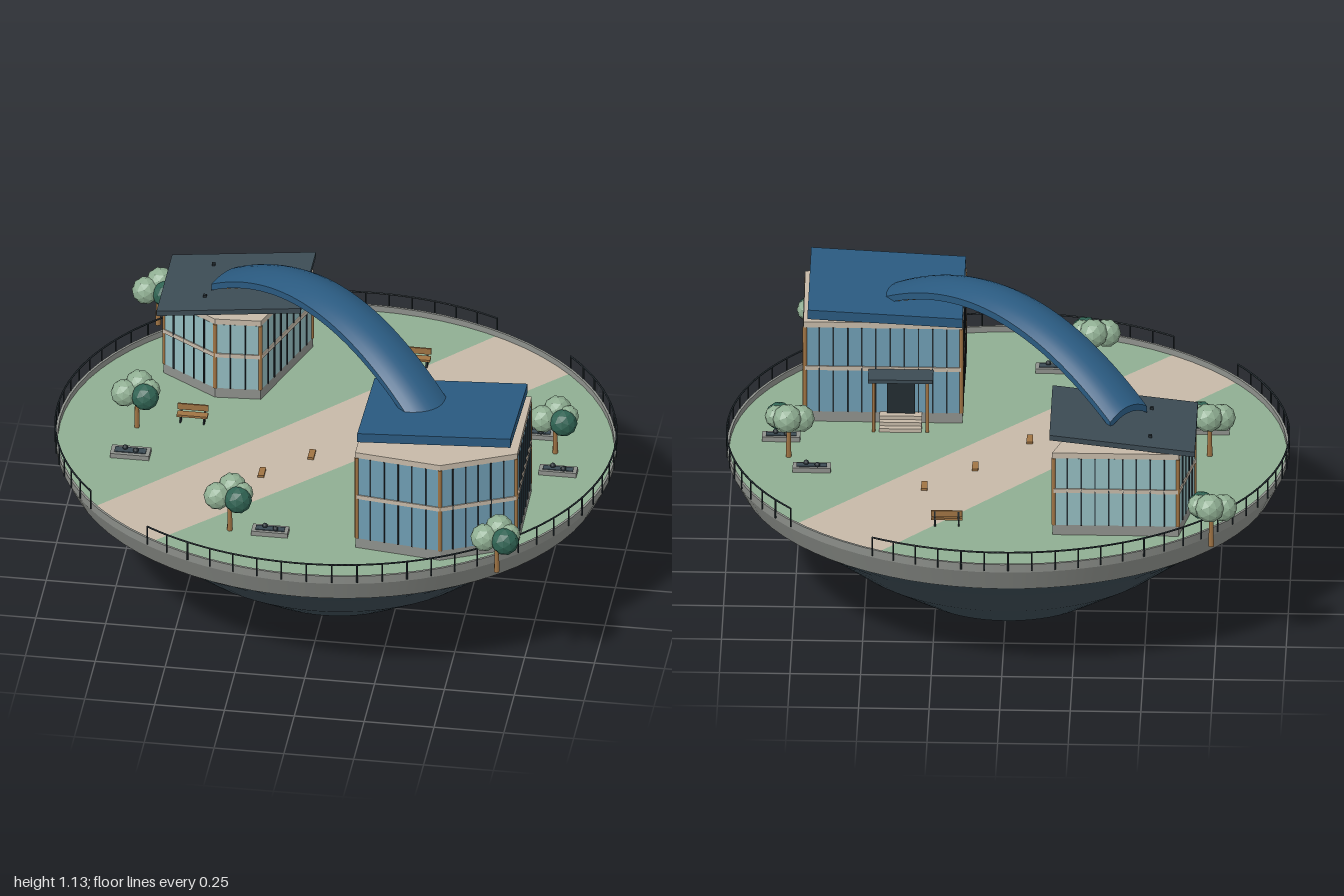
import * as THREE from 'three';

const mat = (name, color, side = THREE.FrontSide, flatShading = false) =>
  new THREE.MeshStandardMaterial({ name, color, side, flatShading });
const GRASS = mat('leafGreen', 0x8fae92, THREE.DoubleSide, true);
const CREAM = mat('cream', 0xc6b9a8, THREE.DoubleSide);
const STONE = mat('concrete', 0x8e918c, THREE.DoubleSide);
const SLATE = mat('slate', 0x3c4b54, THREE.DoubleSide);
const BLUE = mat('blueRoof', 0x2a5a80);
const GLASS = mat('blueGlass', 0x6f9db3);
const PALE = mat('paleGlass', 0x93bcc0);
const WOOD = mat('wood', 0xa07444);
const DARKLEAF = mat('darkLeaf', 0x2f6252, THREE.FrontSide, true);
const CHAR = mat('charcoal', 0x232c31);
const GROUND = 0.505;

function add(parent, name, geo, material, x = 0, y = 0, z = 0) {
  const m = new THREE.Mesh(geo, material);
  m.name = name;
  m.position.set(x, y, z);
  parent.add(m);
  return m;
}
const box = (parent, name, material, w, h, d, x, y, z) =>
  add(parent, name, new THREE.BoxGeometry(w, h, d), material, x, y, z);
function group(parent, name, x = 0, y = 0, z = 0) {
  const g = new THREE.Group();
  g.name = name;
  g.position.set(x, y, z);
  parent.add(g);
  return g;
}
// Point on the oval edge, as plan coordinates
const oval = (t, r = 1) => [Math.cos(t) * r, Math.sin(t) * r * 0.9];
// Plan outline laid flat, with optional thickness
function flat(points, depth = 0) {
  const shape = new THREE.Shape(points.map(([x, z]) => new THREE.Vector2(x, -z)));
  const geo = depth ? new THREE.ExtrudeGeometry(shape, { depth, bevelEnabled: false }) : new THREE.ShapeGeometry(shape);
  return geo.rotateX(-Math.PI / 2);
}
// Box whose height is shifted by a rule
function bend(geo, rule) {
  const p = geo.attributes.position;
  for (let i = 0; i < p.count; i++) p.setY(i, p.getY(i) + rule(p.getX(i), p.getZ(i)));
  geo.computeVertexNormals();
  return geo;
}

// Angles where the path meets the edge
const A = -1.093, B = -0.715, C = 2.175, D = 2.5;

function island(root) {
  const g = group(root, 'island');
  const lathe = pts => new THREE.LatheGeometry(pts.map(p => new THREE.Vector2(...p)), 72).scale(1, 1, 0.9);
  add(g, 'bowl', lathe([[0.37, 0], [0.6, 0.15]]), SLATE);
  add(g, 'bowl', lathe([[0.6, 0.15], [0.8, 0.31]]), SLATE);
  add(g, 'bowl', lathe([[0.8, 0.31], [0.95, 0.41]]), SLATE);
  add(g, 'rim', lathe([[0.95, 0.41], [0.993, 0.495]]), STONE);
  add(g, 'kerb', lathe([[0.993, 0.495], [0.996, 0.528]]), STONE);
  add(g, 'kerbTop', lathe([[0.996, 0.528], [0.987, 0.528]]), STONE);
  add(g, 'kerbInside', lathe([[0.987, 0.528], [0.987, 0.49]]), STONE);

  const arc = (a, b) => Array.from({ length: 41 }, (_, i) => oval(a + (b - a) * i / 40, 0.99));
  const side = (a, b, mx, mz) => {
    const v = t => new THREE.Vector2(...oval(t, 0.99));
    return new THREE.SplineCurve([v(a), new THREE.Vector2(mx, mz), v(b)])
      .getPoints(16).slice(1, -1).map(p => [p.x, p.y]);
  };
  const near = side(C, B, 0.085, 0.09), far = side(A, D, -0.18, -0.11);
  add(g, 'lawn', flat([...arc(B, C), ...near]), GRASS, 0, GROUND, 0);
  add(g, 'lawn', flat([...arc(D, A + 2 * Math.PI), ...far]), GRASS, 0, GROUND, 0);
  add(g, 'path', flat([...arc(A, B), ...[...near].reverse(), ...arc(C, D), ...[...far].reverse()]), CREAM, 0, GROUND, 0);

  // Railing, open at both path ends
  for (const [a, b] of [[B, C], [D, A + 2 * Math.PI]]) {
    const pts = Array.from({ length: 50 }, (_, i) => {
      const [x, z] = oval(a + (b - a) * i / 49, 0.996);
      return new THREE.Vector3(x, 0.577, z);
    });
    add(g, 'handrail', new THREE.TubeGeometry(new THREE.CatmullRomCurve3(pts), 120, 0.0035, 5), CHAR);
    for (let i = 0; i <= 32; i++) {
      const [x, z] = oval(a + (b - a) * i / 32, 0.996);
      add(g, 'railPost', new THREE.CylinderGeometry(0.003, 0.003, 0.075, 5), CHAR, x, 0.54, z);
    }
  }
}

// Glazed pavilion on a many-sided plan
function pavilion(root, name, plan, top, glass) {
  const g = group(root, name);
  const bottom = 0.545, h = top - bottom, cx = plan.reduce((s, p) => s + p[0], 0) / plan.length;
  const cz = plan.reduce((s, p) => s + p[1], 0) / plan.length;
  const grow = k => plan.map(([x, z]) => [cx + (x - cx) * k, cz + (z - cz) * k]);
  add(g, 'plinth', flat(grow(1.015), bottom - GROUND), STONE, 0, GROUND, 0);
  add(g, 'cornice', flat(grow(1.02), 0.022), CREAM, 0, top, 0);
  plan.forEach(([x, z], i) => {
    const [x2, z2] = plan[(i + 1) % plan.length];
    const len = Math.hypot(x2 - x, z2 - z), n = Math.max(2, Math.round(len / 0.05));
    const wall = group(g, 'wall', (x + x2) / 2, bottom, (z + z2) / 2);
    wall.rotation.y = -Math.atan2(z2 - z, x2 - x);
    box(wall, 'glazing', glass, len, h, 0.008, 0, h / 2, 0);
    box(wall, 'floorBand', CREAM, len, 0.016, 0.016, 0, h * 0.52, 0);
    for (let k = 1; k < n; k++) box(wall, 'mullion', CHAR, 0.005, h, 0.016, len * (k / n - 0.5), h / 2, 0);
    add(g, 'cornerColumn', new THREE.CylinderGeometry(0.008, 0.008, h, 8), WOOD, x, bottom + h / 2, z);
  });
  return g;
}

function tiltedRoof(g, material, x0, x1, z0, z1, y, thick, riseX, riseZ) {
  const w = x1 - x0, d = z1 - z0;
  const geo = bend(new THREE.BoxGeometry(w, thick, d), (x, z) => riseX * x / w + riseZ * z / d);
  add(g, 'roof', geo, material, (x0 + x1) / 2, y, (z0 + z1) / 2);
}

function buildings(root) {
  const back = pavilion(root, 'backPavilion',
    [[-0.62, -0.62], [-0.67, -0.38], [-0.47, -0.25], [-0.31, -0.26], [-0.18, -0.62]], 0.812, PALE);
  tiltedRoof(back, SLATE, -0.68, -0.165, -0.625, -0.25, 0.865, 0.02, 0.06, 0);
  for (const [x, z] of [[-0.3, -0.34], [-0.3, -0.55], [-0.52, -0.34], [-0.52, -0.55]])
    box(back, 'roofSupport', CHAR, 0.012, 0.045, 0.012, x, 0.85, z);

  const front = pavilion(root, 'frontPavilion',
    [[0.172, 0.205], [0.172, 0.65], [0.475, 0.69], [0.73, 0.575], [0.725, 0.205]], 0.882, GLASS);
  tiltedRoof(front, BLUE, 0.167, 0.715, 0.195, 0.61, 0.937, 0.036, 0.028, 0.03);
  for (const [x, z] of [[0.26, 0.28], [0.62, 0.28], [0.26, 0.53], [0.62, 0.53]])
    box(front, 'roofSupport', CHAR, 0.014, 0.04, 0.014, x, 0.915, z);

  // Entrance with canopy, posts and steps
  const door = group(front, 'entrance', 0.385, 0, 0.16);
  box(door, 'canopy', SLATE, 0.23, 0.014, 0.09, 0, 0.713, 0);
  for (const s of [-1, 1]) box(door, 'canopyPost', WOOD, 0.012, 0.2, 0.012, s * 0.095, 0.606, -0.03);
  for (let i = 0; i < 3; i++)
    box(door, 'step', CREAM, 0.15, 0.014, 0.075 - i * 0.022, 0, GROUND + 0.007 + i * 0.014, 0.003 + i * 0.011);
  box(door, 'door', CHAR, 0.1, 0.14, 0.006, 0, 0.615, 0.034);
}

// Arched, crowned span with timber slats beneath
function skyBridge(root) {
  const g = group(root, 'archedBridge');
  g.rotation.y = -Math.PI / 4;
  const half = 0.622, width = 0.178;
  const arch = s => 1.1 - 0.205 * (s / half) ** 2;
  const deck = new THREE.BoxGeometry(half * 2, 0.026, width, 40, 1, 8);
  add(g, 'span', bend(deck, (x, z) => arch(x) - 0.013 + 0.032 * (1 - (2 * z / width) ** 2)), BLUE);
  for (let i = -12; i <= 12; i++) {
    const s = i * 0.045;
    const slat = box(g, 'slat', WOOD, 0.022, 0.01, 0.15, s, arch(s) - 0.027, 0);
    slat.rotation.z = Math.atan(-0.41 * s / half ** 2);
  }
}

function tree(root, x, z) {
  const g = group(root, 'tree', x, GROUND, z);
  add(g, 'trunk', new THREE.CylinderGeometry(0.007, 0.01, 0.13, 7), WOOD, 0, 0.065, 0);
  const blob = (m, r, ...p) => add(g, 'foliage', new THREE.IcosahedronGeometry(r, 1), m, ...p);
  blob(GRASS, 0.052, 0.005, 0.165, -0.025);
  blob(GRASS, 0.05, -0.042, 0.147, 0.012);
  blob(GRASS, 0.04, 0.045, 0.16, 0.002);
  blob(DARKLEAF, 0.05, 0.034, 0.148, 0.028);
}

function bench(root, x, z, turn) {
  const g = group(root, 'bench', x, GROUND, z);
  g.rotation.y = turn;
  box(g, 'seat', WOOD, 0.11, 0.008, 0.03, 0, 0.03, 0);
  box(g, 'backrest', WOOD, 0.11, 0.024, 0.006, 0, 0.053, -0.015);
  for (const s of [-1, 1]) {
    box(g, 'leg', CHAR, 0.006, 0.03, 0.026, s * 0.042, 0.015, 0);
    box(g, 'backPost', CHAR, 0.006, 0.035, 0.005, s * 0.042, 0.045, -0.017);
  }
}

function planter(root, x, z, w, d) {
  const g = group(root, 'stoneBed', x, GROUND, z);
  box(g, 'slab', STONE, w, 0.018, d, 0, 0.009, 0);
  box(g, 'inset', SLATE, w * 0.8, 0.004, d * 0.55, 0, 0.019, 0);
  for (const s of [-1, 1])
    add(g, 'stone', new THREE.IcosahedronGeometry(0.01, 1), CHAR, s * 0.02, 0.025, s * 0.008);
}

export function createModel() {
  const root = new THREE.Group();
  root.name = 'floatingGarden';
  island(root);
  buildings(root);
  skyBridge(root);
  for (const p of [[-0.74, -0.69], [-0.715, -0.015], [-0.29, 0.605], [0.775, -0.065], [0.685, 0.735]]) tree(root, ...p);
  bench(root, 0.2, -0.56, 0);
  bench(root, -0.525, -0.075, 0);
  for (const p of [[-0.71, 0.17, 0.14, 0.06], [-0.145, 0.605, 0.13, 0.05], [0.69, -0.163, 0.135, 0.045], [0.805, 0.065, 0.135, 0.045]])
    planter(root, ...p);
  // Timber inlays along the path
  for (const [x, z] of [[0.288, -0.28], [0.112, -0.127], [-0.075, 0.08], [-0.232, 0.222], [-0.376, 0.365]])
    box(root, 'pathInlay', WOOD, 0.022, 0.009, 0.056, x, GROUND + 0.004, z);
  return root;
}
